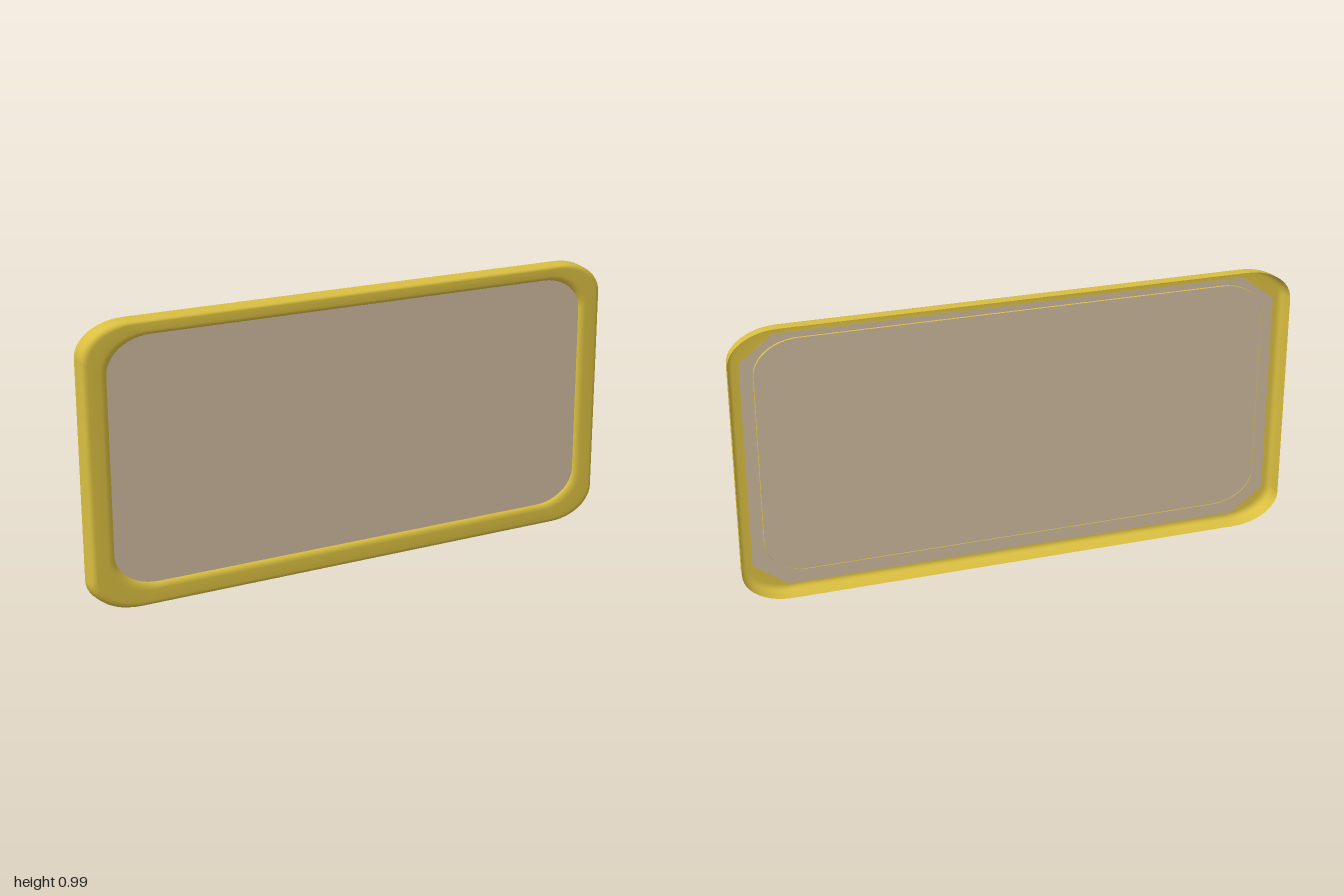
import * as THREE from 'three';

const CORNER_STEPS = 12;

// Rounded-rectangle outline with elliptical corners, anticlockwise from the front
function outline({ hw, hh, cy, rx, ry }) {
  const points = [];
  const corners = [[1, 1], [-1, 1], [-1, -1], [1, -1]];
  corners.forEach(([sx, sy], q) => {
    for (let i = 0; i <= CORNER_STEPS; i++) {
      const a = (q + i / CORNER_STEPS) * Math.PI / 2;
      points.push([sx * (hw - rx) + rx * Math.cos(a), cy + sy * (hh - ry) + ry * Math.sin(a)]);
    }
  });
  return points;
}

// Hollow moulded frame: one section swept from the back rim to the inner lip
function frameGeometry() {
  const outer = outline({ hw: 1, hh: 0.496, cy: 0.496, rx: 0.17, ry: 0.115 });
  const inner = outline({ hw: 0.91, hh: 0.427, cy: 0.51, rx: 0.155, ry: 0.12 });
  // [fraction from outer to inner outline, z]
  const section = [
    [0, -0.03], [0.02, -0.005], [0.04, 0.013], [0.08, 0.022], [0.15, 0.028], [0.26, 0.03],
    [0.72, 0.03], [0.84, 0.028], [0.93, 0.024], [0.98, 0.018], [1, 0.01],
  ];
  const n = outer.length, positions = [], index = [];
  section.forEach(([t, z], r) => {
    outer.forEach(([x, y], i) => {
      positions.push(x + (inner[i][0] - x) * t, y + (inner[i][1] - y) * t, z);
      if (r === 0) return;
      const j = (i + 1) % n, a = (r - 1) * n, b = r * n;
      index.push(a + i, a + j, b + j, a + i, b + j, b + i);
    });
  });
  const g = new THREE.BufferGeometry();
  g.setAttribute('position', new THREE.Float32BufferAttribute(positions, 3));
  g.setIndex(index);
  g.computeVertexNormals();
  return g;
}

// Flat panel with clipped corners, set just behind the lip
function panelGeometry() {
  const hw = 0.955, hh = 0.463, cx = 0.12, cy = 0.09;
  const shape = new THREE.Shape([
    [hw, -hh + cy], [hw, hh - cy], [hw - cx, hh], [-hw + cx, hh],
    [-hw, hh - cy], [-hw, -hh + cy], [-hw + cx, -hh], [hw - cx, -hh],
  ].map(([x, y]) => new THREE.Vector2(x, y)));
  return new THREE.ShapeGeometry(shape).translate(0, 0.496, 0.016);
}

export function createModel() {
  const gold = new THREE.MeshStandardMaterial({ color: 0xd9be40, side: THREE.DoubleSide });
  gold.name = 'gold';
  const beige = new THREE.MeshStandardMaterial({ color: 0xcdb99d, side: THREE.DoubleSide });
  beige.name = 'beige';

  const group = new THREE.Group();
  group.name = 'framedPanel';
  const add = (name, geometry, material) => {
    const mesh = new THREE.Mesh(geometry, material);
    mesh.name = name;
    group.add(mesh);
  };
  add('frame', frameGeometry(), gold);
  add('panel', panelGeometry(), beige);
  return group;
}
